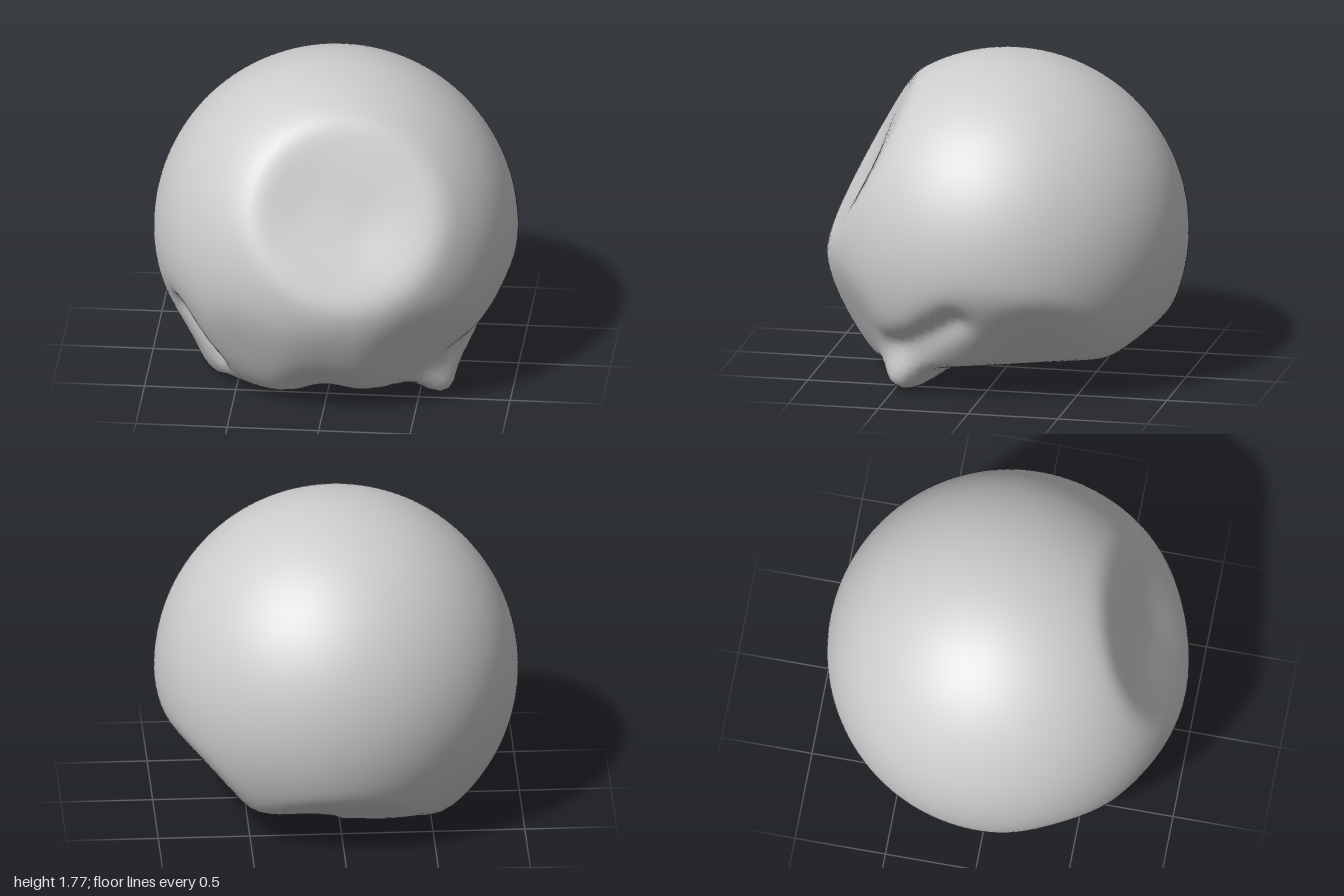
import * as THREE from 'three';
import { mergeVertices } from 'three/addons/utils/BufferGeometryUtils.js';

const V = (x, y, z) => new THREE.Vector3(x, y, z);
const BALL = 0.994; // radius of the uncut boulder

// Flat cuts through the ball: outward direction and distance from the centre
const cuts = [
  [V(0.15, 0.46, 0.87), 0.845],    // sloping front face
  [V(0.874, -0.486, 0), 0.935],    // left flank
  [V(0.74, -0.606, -0.25), 0.885], // left rear flank
  [V(0.10, -0.97, -0.06), 0.665],  // underside
  [V(0, -0.83, -0.56), 0.86],      // rear bevel
  [V(-0.79, -0.43, 0.435), 0.97],  // right front bevel
  [V(0, -0.47, 0.88), 0.975],      // lower front
  [V(0.5, -0.42, 0.75), 0.96],     // lower left front
  [V(-0.42, -0.42, 0.8), 0.975],   // lower right front
].map(([n, d]) => [n.normalize(), d]);

// Soft bumps (+) and grooves (-): start, end, width, height
const marks = [
  [V(-0.05, 0.45, 0.8), V(0.2, 0.36, 0.85), 0.33, -0.03],      // hollow in the front
  [V(0.63, -0.77, 0.45), V(0.61, -0.77, 0.42), 0.13, 0.17],    // left foot
  [V(-0.65, -0.78, 0.2), V(-0.62, -0.78, 0.24), 0.15, 0.05],   // right foot
  [V(0.77, -0.56, 0.5), V(0.92, -0.32, 0.12), 0.09, -0.05],    // crease over left foot
  [V(-0.82, -0.36, 0.44), V(-0.64, -0.6, 0.5), 0.075, -0.075], // crease over right foot
  [V(0.03, -0.68, 0.15), V(0, -0.68, 0.68), 0.17, -0.06],      // arch between the feet
  [V(0.19, -0.66, -0.16), V(0.2, -0.66, -0.6), 0.1, -0.025],   // underside crease
  [V(-0.05, -0.65, -0.05), V(0, -0.66, -0.5), 0.09, 0.025],    // underside ridge
  [V(0, -0.66, -0.5), V(-0.36, -0.58, -0.66), 0.09, 0.02],
  [V(0.38, -0.65, 0.22), V(0.36, -0.65, 0.26), 0.08, 0.03],    // small knob
].map(([a, b, w, h]) => [new THREE.Line3(a.normalize(), b.normalize()), w, h]);

// Distance from the centre to the surface along a direction
function radius(dir) {
  const p = 55; // sharpness of the blend between the ball and its cuts
  let sum = Math.pow(1 / BALL, p);
  for (const [n, d] of cuts) sum += Math.pow(Math.max(0, dir.dot(n)) / d, p);
  let r = Math.pow(sum, -1 / p);
  const near = V(0, 0, 0);
  for (const [line, w, h] of marks) {
    line.closestPointToPoint(dir, true, near);
    r += h * Math.exp(-near.distanceToSquared(dir) / (w * w));
  }
  return r;
}

export function createModel() {
  const group = new THREE.Group();
  const stone = new THREE.MeshStandardMaterial({ color: 0xcccccc });
  stone.name = 'pale grey stone';

  // Boulder body, shaped along each direction from the centre
  const ball = new THREE.IcosahedronGeometry(1, 28);
  ball.deleteAttribute('uv');
  ball.deleteAttribute('normal');
  const geo = mergeVertices(ball, 1e-4);
  const pos = geo.attributes.position;
  const v = V(0, 0, 0);
  for (let i = 0; i < pos.count; i++) {
    v.fromBufferAttribute(pos, i).normalize();
    v.multiplyScalar(radius(v));
    pos.setXYZ(i, v.x, v.y, v.z);
  }

  // Stand it on its feet
  geo.computeBoundingBox();
  geo.translate(0, -geo.boundingBox.min.y, 0);
  geo.computeVertexNormals();

  const boulder = new THREE.Mesh(geo, stone);
  boulder.name = 'boulder';
  group.add(boulder);
  return group;
}
